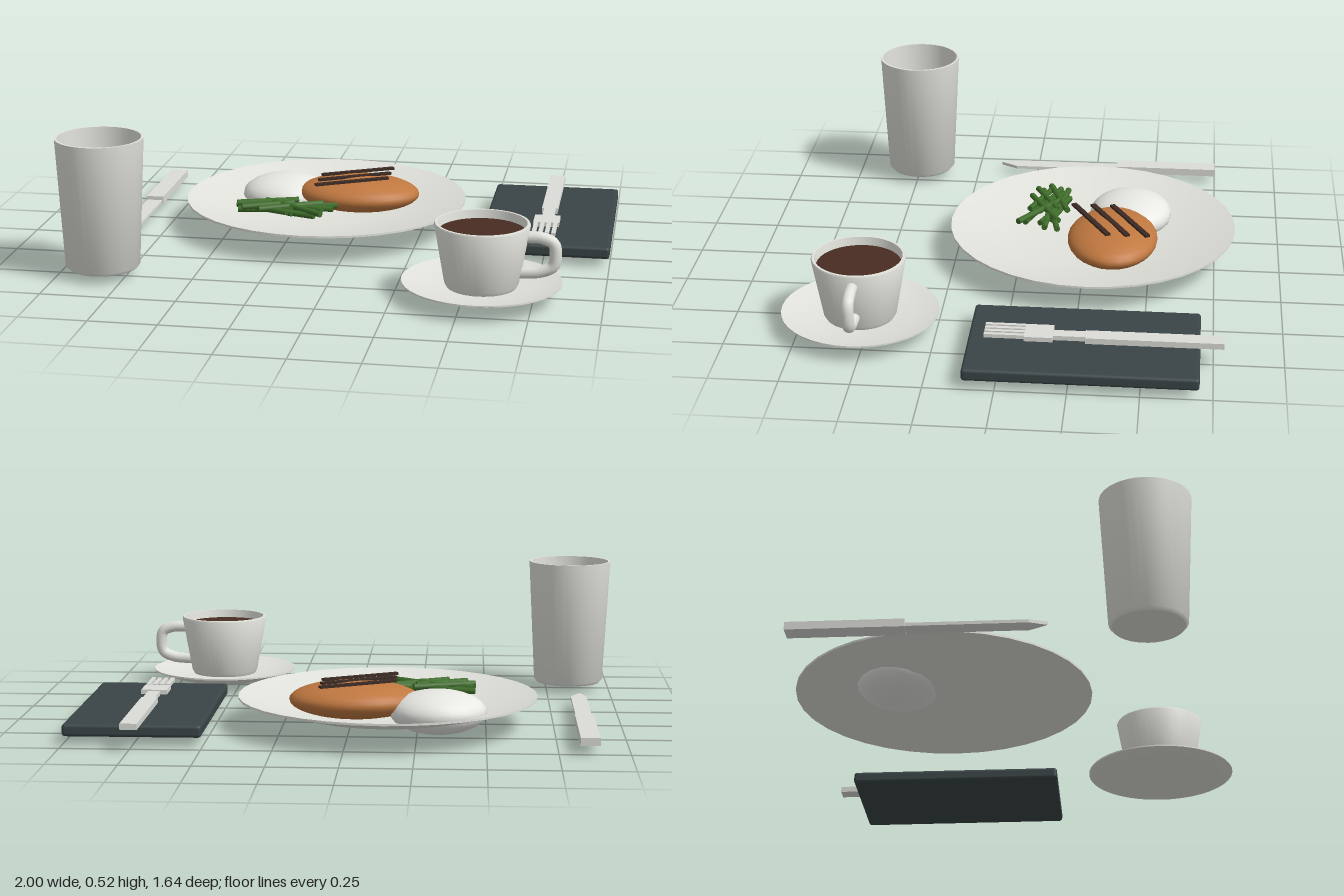
import * as THREE from 'three';
import { toCreasedNormals } from 'three/addons/utils/BufferGeometryUtils.js';
import { RoundedBoxGeometry } from 'three/addons/geometries/RoundedBoxGeometry.js';

const mat = (name, color, side = THREE.FrontSide) => {
  const m = new THREE.MeshStandardMaterial({ color, side });
  m.name = name;
  return m;
};

export function createModel() {
  const M = {
    ceramic: mat('ceramic', 0xe2e2dc, THREE.DoubleSide),
    metal: mat('metal', 0xdcdcd8),
    potato: mat('potato', 0xeeeeea),
    chicken: mat('chicken', 0xc07840),
    char: mat('char', 0x3c2a22),
    bean: mat('bean', 0x3f6e2a),
    coffee: mat('coffee', 0x482c22),
    slate: mat('slate', 0x3a4446),
  };
  const root = new THREE.Group();
  root.name = 'tableSetting';

  const group = (name, x = 0, y = 0, z = 0) => {
    const g = new THREE.Group();
    g.name = name;
    g.position.set(x, y, z);
    root.add(g);
    return g;
  };
  const add = (parent, name, geo, material, x = 0, y = 0, z = 0) => {
    const m = new THREE.Mesh(geo, material);
    m.name = name;
    m.position.set(x, y, z);
    parent.add(m);
    return m;
  };
  const lathe = (pts, seg = 40, crease = 0.5) =>
    toCreasedNormals(new THREE.LatheGeometry(pts.map(p => new THREE.Vector2(...p)), seg), crease);
  // Box given by its min and max corners
  const slab = (parent, name, material, x0, x1, y0, y1, z0, z1) =>
    add(parent, name, new THREE.BoxGeometry(x1 - x0, y1 - y0, z1 - z0), material,
      (x0 + x1) / 2, (y0 + y1) / 2, (z0 + z1) / 2);

  // Dinner plate
  const plate = group('dinnerPlate', -0.137, 0, -0.275);
  add(plate, 'plateDish', lathe([
    [0, 0.032], [0.2, 0.034], [0.35, 0.055], [0.553, 0.109], [0.553, 0.117],
    [0.36, 0.066], [0.2, 0.045], [0, 0.043],
  ], 36, 0.9), M.ceramic);

  // Food on the plate
  const food = group('food');
  const potato = new THREE.SphereGeometry(1, 20, 14);
  potato.scale(0.178, 0.08, 0.161);
  add(food, 'mashedPotato', potato, M.potato, -0.325, 0.08, -0.417);

  // Chicken fillet: ellipsoid narrowed toward one end
  const fillet = new THREE.SphereGeometry(1, 28, 18);
  const fp = fillet.attributes.position;
  for (let i = 0; i < fp.count; i++) {
    const x = fp.getX(i);
    const taper = x < 0 ? 1 + 0.14 * x * x * x : 1;
    fp.setXYZ(i, x * 0.243, fp.getY(i) * 0.068, fp.getZ(i) * 0.173 * taper);
  }
  fillet.computeVertexNormals();
  add(food, 'chickenFillet', fillet, M.chicken, -0.021, 0.112, -0.358);

  // Grill marks
  for (const z of [-0.422, -0.346, -0.272]) {
    add(food, 'grillMark', new THREE.BoxGeometry(0.305, 0.009, 0.02), M.char, -0.035, 0.18, z)
      .rotation.y = 0.5;
  }

  // Green beans: x0, z0, x1, z1
  const beans = [
    [-0.46, -0.16, -0.24, -0.12], [-0.36, -0.17, -0.12, -0.07], [-0.46, -0.09, -0.23, -0.17],
    [-0.45, -0.06, -0.22, -0.1], [-0.46, -0.1, -0.25, -0.02], [-0.36, -0.02, -0.13, -0.14],
    [-0.43, -0.15, -0.23, -0.03], [-0.29, -0.1, -0.07, -0.14], [-0.32, -0.13, -0.11, 0.015],
    [-0.38, -0.17, -0.17, -0.11], [-0.3, -0.1, -0.08, -0.09], [-0.43, -0.04, -0.24, -0.13],
    [-0.35, -0.08, -0.14, -0.01], [-0.45, -0.13, -0.23, -0.06],
  ];
  const up = new THREE.Vector3(0, 1, 0);
  beans.forEach(([x0, z0, x1, z1], i) => {
    const dir = new THREE.Vector3(x1 - x0, 0, z1 - z0);
    const bean = add(food, 'greenBean', new THREE.CylinderGeometry(0.012, 0.012, dir.length(), 8),
      M.bean, (x0 + x1) / 2, 0.108 + 0.008 * (i % 3), (z0 + z1) / 2);
    bean.quaternion.setFromUnitVectors(up, dir.normalize());
  });

  // Drinking glass
  const glass = group('drinkingGlass', -0.838, 0, 0.49);
  add(glass, 'glassBody', lathe([
    [0, 0.03], [0.126, 0.03], [0.137, 0.042], [0.162, 0.521], [0.153, 0.521],
    [0.135, 0.06], [0, 0.055],
  ], 36, 0.8), M.ceramic);

  // Saucer, cup and coffee
  const coffeeSet = group('coffeeSet', 0.565, 0, 0.53);
  add(coffeeSet, 'saucer', lathe([
    [0, 0.03], [0.197, 0.03], [0.287, 0.062], [0.287, 0.068], [0.195, 0.044], [0, 0.042],
  ], 40, 0.6), M.ceramic);
  add(coffeeSet, 'cupBody', lathe([
    [0, 0.046], [0.125, 0.046], [0.133, 0.06], [0.171, 0.275], [0.168, 0.281], [0.159, 0.281],
    [0.125, 0.075], [0, 0.07],
  ], 40, 0.8), M.ceramic);
  const surface = new THREE.CircleGeometry(0.155, 40);
  surface.rotateX(-Math.PI / 2);
  add(coffeeSet, 'coffee', surface, M.coffee, 0, 0.25, 0);
  const path = new THREE.CatmullRomCurve3([
    [0.155, 0.234], [0.21, 0.233], [0.252, 0.215], [0.261, 0.175], [0.252, 0.13],
    [0.21, 0.109], [0.135, 0.102],
  ].map(([x, y]) => new THREE.Vector3(x, y, 0)));
  add(coffeeSet, 'cupHandle', new THREE.TubeGeometry(path, 32, 0.022, 12), M.ceramic);

  // Slate board
  add(root, 'slateBoard', new RoundedBoxGeometry(0.496, 0.045, 0.818, 3, 0.012), M.slate,
    0.752, 0.054, -0.294);

  // Fork
  const fork = group('fork');
  slab(fork, 'forkHandle', M.metal, 0.717, 0.778, 0.077, 0.099, -0.786, -0.3);
  slab(fork, 'forkNeck', M.metal, 0.726, 0.771, 0.083, 0.1, -0.302, -0.185);
  slab(fork, 'forkHead', M.metal, 0.699, 0.797, 0.088, 0.105, -0.187, -0.085);
  for (let i = 0; i < 4; i++) {
    const x = 0.711 + i * 0.0247;
    slab(fork, 'forkTine', M.metal, x - 0.0075, x + 0.0075, 0.094, 0.108, -0.086, 0.056);
  }

  // Knife with an angled tip
  const knife = group('knife');
  slab(knife, 'knifeHandle', M.metal, -0.893, -0.824, 0.031, 0.06, -0.749, -0.337);
  const outline = new THREE.Shape([
    [-0.89, 0.34], [-0.83, 0.34], [-0.83, -0.085], [-0.867, -0.15], [-0.89, -0.085],
  ].map(p => new THREE.Vector2(...p)));
  const blade = new THREE.ExtrudeGeometry(outline, { depth: 0.012, bevelEnabled: false });
  blade.rotateX(-Math.PI / 2);
  add(knife, 'knifeBlade', blade, M.metal, 0, 0.033, 0);

  return root;
}
